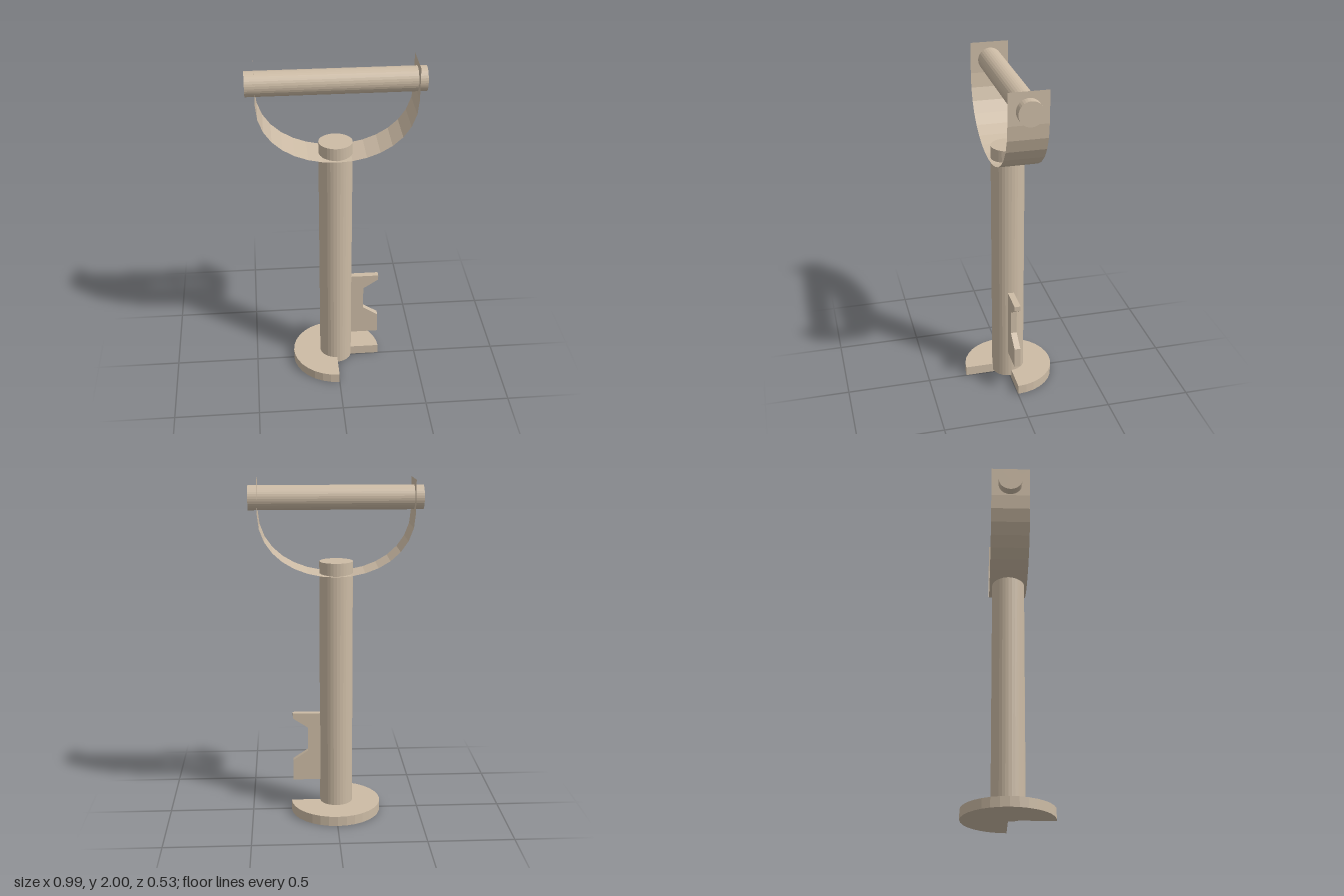
import * as THREE from 'three';

const material = new THREE.MeshStandardMaterial({ color: 0xccbba5, flatShading: true });
const thinMaterial = new THREE.MeshStandardMaterial({ color: 0xccbba5, flatShading: true, side: THREE.DoubleSide });

function part(name, geometry, mat = material) {
  const mesh = new THREE.Mesh(geometry, mat);
  mesh.name = name;
  return mesh;
}

// Disc with the front quarter on the +x side cut away
function baseGeometry(radius, height) {
  const shape = new THREE.Shape();
  shape.moveTo(0, 0);
  shape.lineTo(radius, 0);
  shape.absarc(0, 0, radius, 0, Math.PI * 1.5, false);
  shape.closePath();
  return new THREE.ExtrudeGeometry(shape, { depth: height, bevelEnabled: false, curveSegments: 12 })
    .rotateX(-Math.PI / 2);
}

// Notched plate standing out from the column
function plateGeometry(thickness) {
  const outline = [
    [0.06, 0.195], [0.255, 0.195], [0.255, 0.32], [0.165, 0.38],
    [0.165, 0.525], [0.255, 0.585], [0.255, 0.615], [0.06, 0.615],
  ];
  const shape = new THREE.Shape(outline.map(([x, y]) => new THREE.Vector2(x, y)));
  return new THREE.ExtrudeGeometry(shape, { depth: thickness, bevelEnabled: false })
    .translate(0, 0, -thickness / 2);
}

// Thin strip: two upright ends joined by a hanging curve
function yokeGeometry(halfWidth, stripWidth) {
  const v = (x, y) => new THREE.Vector2(x, y);
  const curve = new THREE.CubicBezierCurve(
    v(-halfWidth, 1.817), v(-halfWidth, 1.334), v(halfWidth, 1.334), v(halfWidth, 1.817));
  const path = [v(-halfWidth, 2), ...curve.getPoints(16), v(halfWidth, 2)];
  const geometry = new THREE.PlaneGeometry(1, stripWidth, path.length - 1, 1);
  const pos = geometry.attributes.position;
  for (let i = 0; i < pos.count; i++) {
    const p = path[i % path.length];
    pos.setXYZ(i, p.x, p.y, -pos.getY(i));
  }
  geometry.computeVertexNormals();
  return geometry;
}

export function createModel() {
  const group = new THREE.Group();
  group.name = 'handledPost';

  const base = part('base', baseGeometry(0.267, 0.058));
  base.position.set(-0.001, 0, -0.002);

  const column = part('column', new THREE.CylinderGeometry(0.097, 0.097, 1.51, 32));
  column.position.set(-0.004, 0.775, -0.002);

  const plate = part('notchedPlate', plateGeometry(0.036));
  plate.position.z = 0.002;

  const yoke = part('yoke', yokeGeometry(0.444, 0.226), thinMaterial);
  yoke.position.set(-0.001, 0, -0.002);

  const bar = part('handleBar', new THREE.CylinderGeometry(0.07, 0.07, 0.993, 32).rotateZ(Math.PI / 2));
  bar.position.set(-0.002, 1.894, -0.004);

  group.add(base, column, plate, yoke, bar);
  return group;
}
